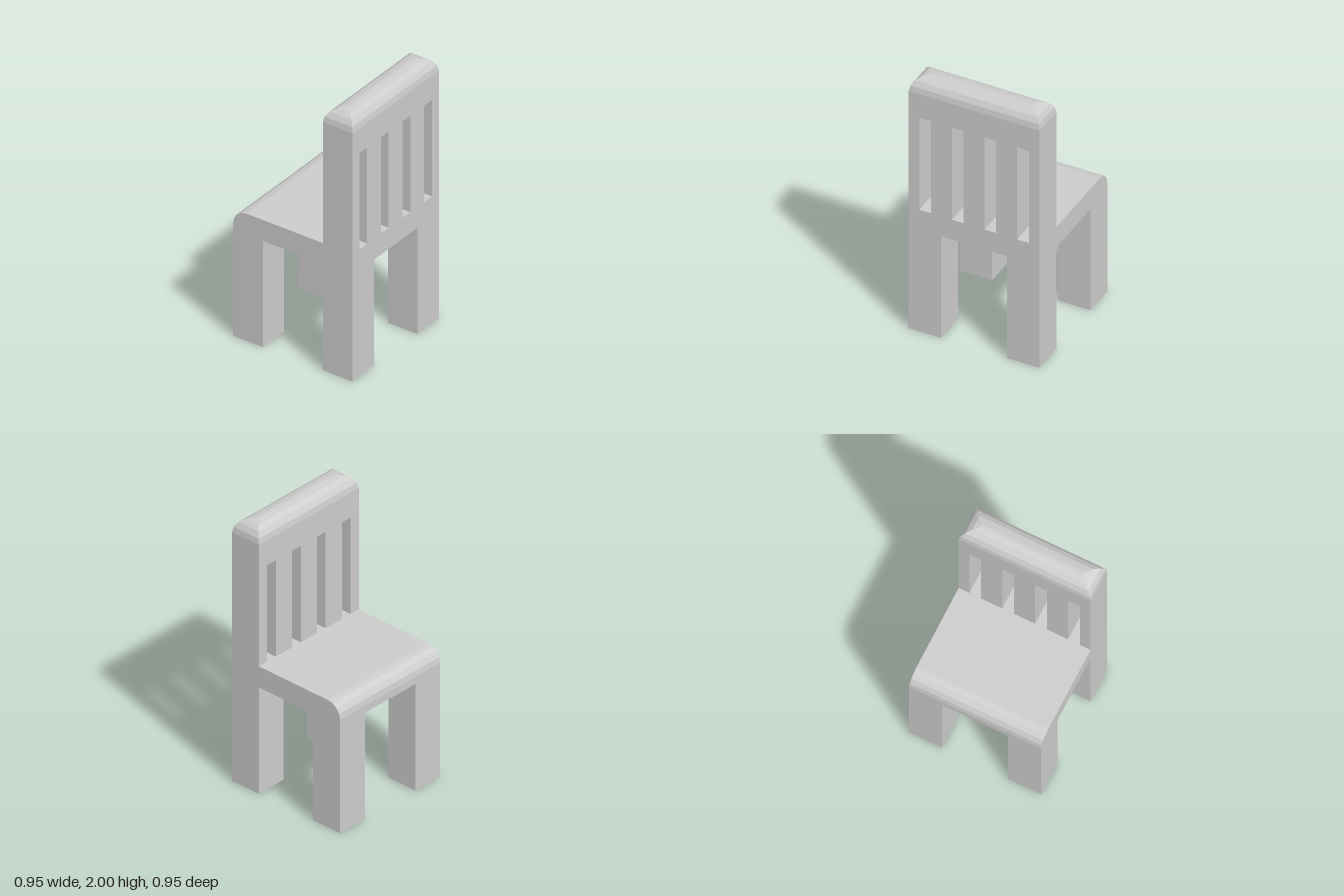
import * as THREE from 'three';

const W = 0.477;      // half width and half depth
const IN = 0.24;      // inner faces of legs and back
const SEAT_Y = 0.81;  // underside of the seat
const TOP_Y = 0.97;   // top of the seat
const R = 0.107;      // rounding radius
const STEPS = 4;      // facets per rounding

const material = new THREE.MeshStandardMaterial({ color: 0xcccccc, flatShading: true });

function part(name, geometry) {
  const mesh = new THREE.Mesh(geometry, material);
  mesh.name = name;
  return mesh;
}

function polygon(points, Type = THREE.Shape) {
  return new Type(points.map(([x, y]) => new THREE.Vector2(x, y)));
}

// Slotted back panel running down into its two legs
function backGeometry() {
  const y = 2 - R;
  const shape = polygon([
    [-W, 0], [-IN, 0], [-IN, SEAT_Y], [IN, SEAT_Y], [IN, 0], [W, 0], [W, y], [-W, y],
  ]);
  for (const x of [-0.357, -0.119, 0.119, 0.357]) {
    const h = 0.0425;
    shape.holes.push(polygon(
      [[x - h, TOP_Y], [x - h, 1.705], [x + h, 1.705], [x + h, TOP_Y]], THREE.Path));
  }
  return new THREE.ExtrudeGeometry(shape, { depth: W - IN, bevelEnabled: false })
    .translate(0, 0, IN);
}

// Rounded top rail: shrinking rectangles with mitred corners
function railGeometry() {
  const zMid = (W + IN) / 2, halfZ = (W - IN) / 2;
  const position = [], index = [];
  for (let i = 0; i <= STEPS; i++) {
    const a = (i / STEPS) * Math.PI / 2;
    const inset = R * (1 - Math.cos(a)), y = 2 - R + R * Math.sin(a);
    const x = W - inset, z = halfZ - inset;
    position.push(-x, y, zMid + z, x, y, zMid + z, x, y, zMid - z, -x, y, zMid - z);
  }
  for (let i = 0; i < STEPS; i++) {
    for (let j = 0; j < 4; j++) {
      const a = i * 4 + j, b = i * 4 + (j + 1) % 4;
      index.push(a, b, b + 4, a, b + 4, a + 4);
    }
  }
  const t = STEPS * 4;
  index.push(t, t + 1, t + 2, t, t + 2, t + 3);
  const indexed = new THREE.BufferGeometry();
  indexed.setAttribute('position', new THREE.Float32BufferAttribute(position, 3));
  indexed.setIndex(index);
  const geometry = indexed.toNonIndexed();
  geometry.computeVertexNormals();
  return geometry;
}

// Seat slab: side profile with a rounded free edge, swept across the width
function seatGeometry() {
  const shape = new THREE.Shape();
  shape.moveTo(-IN, SEAT_Y);
  shape.lineTo(W, SEAT_Y);
  shape.lineTo(W, TOP_Y - R);
  shape.absarc(W - R, TOP_Y - R, R, 0, Math.PI / 2, false);
  shape.lineTo(-IN, TOP_Y);
  return new THREE.ExtrudeGeometry(shape, {
    depth: 2 * W, bevelEnabled: false, curveSegments: STEPS / 2,
  }).translate(0, 0, -W).rotateY(Math.PI / 2);
}

export function createModel() {
  const chair = new THREE.Group();
  chair.name = 'chair';
  chair.add(part('backrest', backGeometry()));
  chair.add(part('topRail', railGeometry()));
  chair.add(part('seat', seatGeometry()));

  // Pair of legs under the rounded edge of the seat
  const size = W - IN, mid = (W + IN) / 2;
  for (const side of [1, -1]) {
    const leg = part(side > 0 ? 'leftSeatLeg' : 'rightSeatLeg',
      new THREE.BoxGeometry(size, SEAT_Y, size));
    leg.position.set(side * mid, SEAT_Y / 2, -mid);
    chair.add(leg);
  }
  return chair;
}
